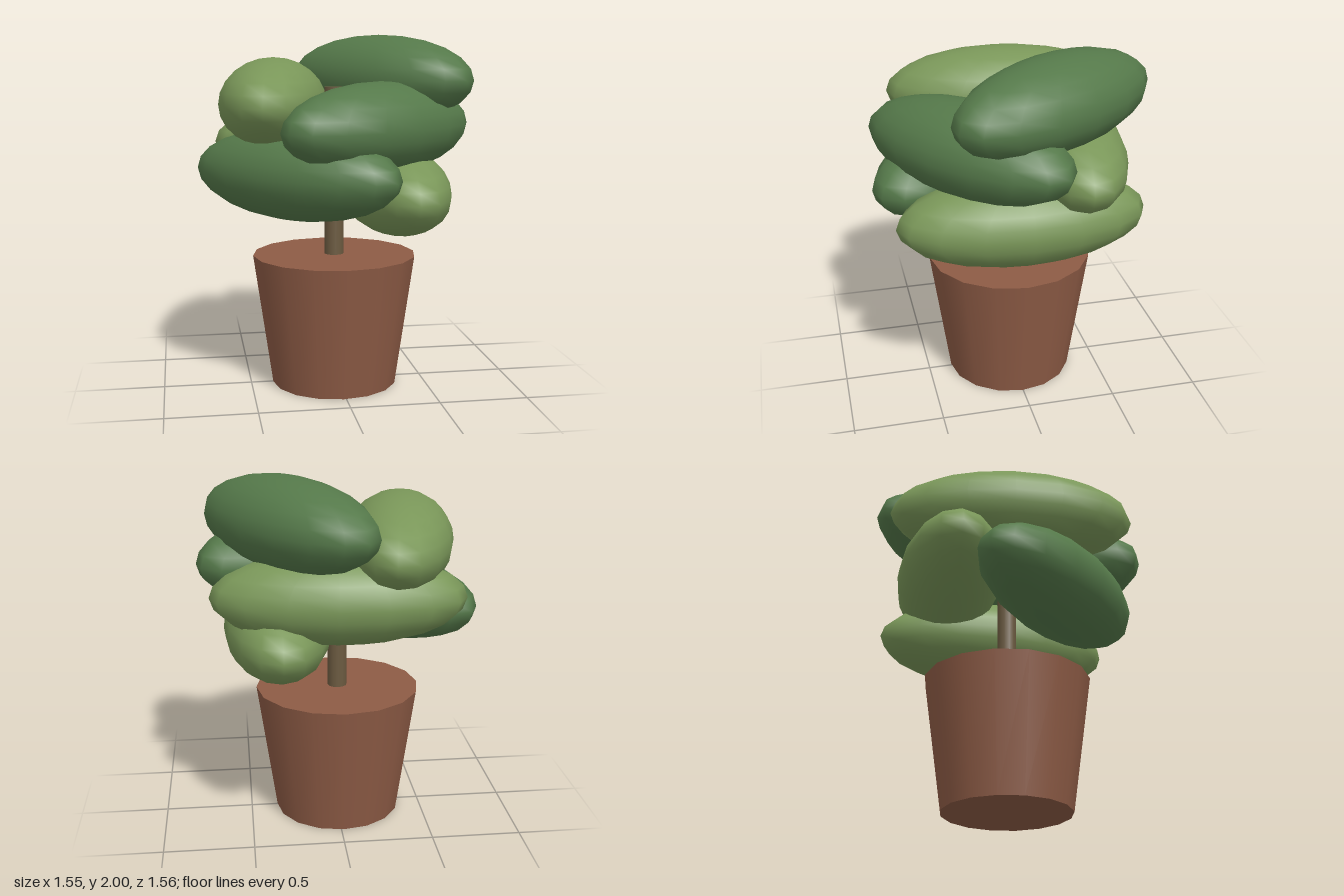
import * as THREE from 'three';

const mat = (color) => new THREE.MeshStandardMaterial({ color });

export function createModel() {
  const plant = new THREE.Group();
  plant.name = 'pottedPlant';
  const add = (name, geometry, material, x, y, z) => {
    const mesh = new THREE.Mesh(geometry, material);
    mesh.name = name;
    mesh.position.set(x, y, z);
    plant.add(mesh);
    return mesh;
  };
  const cx = -0.013, cz = 0.005; // stem axis

  // Tapered pot and the stem rising from it
  add('pot', new THREE.CylinderGeometry(0.468, 0.36, 0.755, 16), mat(0x8d5b45), cx, 0.3775, cz);
  add('stem', new THREE.CylinderGeometry(0.055, 0.055, 0.96, 12), mat(0x6b5a40), cx, 1.23, cz);

  // Leaves spiral up the stem by the golden angle, alternating two greens
  const greens = [mat(0x7a9759), mat(0x55794a)];
  const leafGeometry = new THREE.SphereGeometry(1, 16, 12);
  for (let i = 0; i < 6; i++) {
    const a = THREE.MathUtils.degToRad(137.5 * i);
    const leaf = add(`leaf${i + 1}`, leafGeometry, greens[i % 2],
      cx + 0.343 * Math.cos(a), 1.125 + 0.125 * i, cz + 0.343 * Math.sin(a));
    leaf.rotation.y = -a;
    leaf.scale.set(0.3, 0.25, 0.687); // outward, up, across
  }
  return plant;
}
